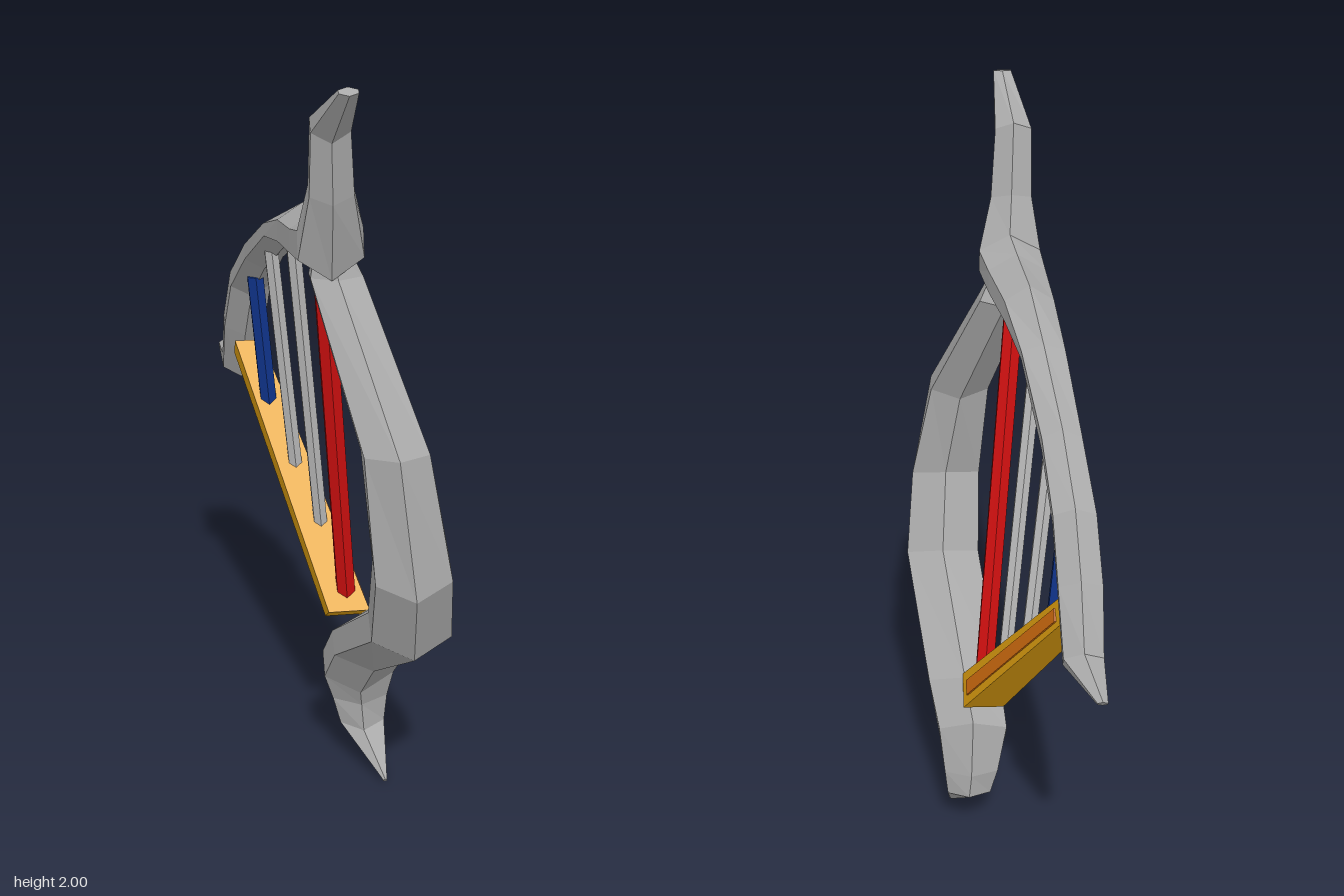
import * as THREE from 'three';

const paint = (name, color) => {
  const m = new THREE.MeshStandardMaterial({ color });
  m.name = name;
  return m;
};

// Section outlines: u runs from outer to inner edge, v from low to high x
const HEX = [[0, 0.5], [0.3, 1], [0.7, 1], [1, 0.5], [0.7, 0], [0.3, 0]];
const SQUARE = [[0, 0], [0, 1], [1, 1], [1, 0]];

// Faceted loft; each row is [outerZ, outerY, innerZ, innerY, xMin, xMax]
function loft(name, rows, outline, material) {
  const pos = [], idx = [], n = outline.length;
  for (const [oz, oy, iz, iy, x0, x1] of rows)
    for (const [u, v] of outline)
      pos.push(x0 + (x1 - x0) * v, oy + (iy - oy) * u, oz + (iz - oz) * u);
  for (let i = 0; i < rows.length - 1; i++)
    for (let j = 0; j < n; j++) {
      const a = i * n + j, b = i * n + (j + 1) % n, c = a + n, d = b + n;
      idx.push(a, b, c, b, d, c);
    }
  const end = (rows.length - 1) * n;
  for (let j = 1; j < n - 1; j++) {
    idx.push(0, j + 1, j);
    idx.push(end, end + j, end + j + 1);
  }
  let g = new THREE.BufferGeometry();
  g.setAttribute('position', new THREE.Float32BufferAttribute(pos, 3));
  g.setIndex(idx);
  g = g.toNonIndexed();
  g.computeVertexNormals();
  const mesh = new THREE.Mesh(g, material);
  mesh.name = name;
  return mesh;
}

// Straight six-sided string between two points
function string(name, from, to, radius, material) {
  const a = new THREE.Vector3(...from), b = new THREE.Vector3(...to);
  const dir = b.clone().sub(a);
  const g = new THREE.CylinderGeometry(radius, radius, dir.length(), 6).toNonIndexed();
  g.computeVertexNormals();
  const mesh = new THREE.Mesh(g, material);
  mesh.position.copy(a).add(b).multiplyScalar(0.5);
  mesh.quaternion.setFromUnitVectors(new THREE.Vector3(0, 1, 0), dir.normalize());
  mesh.name = name;
  return mesh;
}

export function createModel() {
  const harp = new THREE.Group();
  harp.name = 'harp';
  const grey = paint('frame grey', 0xaaaaaa);
  const pale = paint('string grey', 0xbbbbbb);
  const red = paint('string red', 0xd01010);
  const blue = paint('string blue', 0x10348c);
  const gold = paint('gold', 0xe0a010);
  const orange = paint('orange', 0xd87010);

  // Bowed front pillar, from the pointed foot up to the neck
  harp.add(loft('pillar', [
    [0.18, 0.01, 0.175, 0, 0.115, 0.125],
    [0.11, 0.12, 0, 0.15, 0.015, 0.13],
    [0.11, 0.2, 0.002, 0.22, -0.005, 0.137],
    [0.13, 0.25, 0.03, 0.38, -0.03, 0.15],
    [0.22, 0.37, 0.1, 0.48, -0.015, 0.175],
    [0.53, 0.59, 0.38, 0.7, 0.035, 0.228],
    [0.62, 0.8, 0.475, 0.89, 0.03, 0.21],
    [0.595, 1.15, 0.45, 1.13, 0.005, 0.155],
    [0.37, 1.5, 0.27, 1.49, -0.09, 0.03],
    [0.35, 1.56, 0.3, 1.56, -0.08, 0],
  ], HEX, grey));

  // Horn at the top, running into the arched neck and its rear spike
  harp.add(loft('neck', [
    [0.535, 2, 0.57, 1.99, -0.055, -0.012],
    [0.4, 1.92, 0.455, 1.85, -0.1, -0.012],
    [0.36, 1.75, 0.43, 1.7, -0.1, 0],
    [0.325, 1.66, 0.37, 1.5, -0.12, 0.03],
    [0.27, 1.635, 0.27, 1.49, -0.13, 0.01],
    [0.15, 1.61, 0.15, 1.475, -0.145, -0.025],
    [0, 1.53, 0.03, 1.46, -0.165, -0.06],
    [-0.19, 1.41, -0.17, 1.32, -0.195, -0.1],
    [-0.33, 1.28, -0.29, 1.2, -0.222, -0.12],
    [-0.41, 1.13, -0.36, 1.06, -0.235, -0.13],
    [-0.49, 0.985, -0.44, 0.905, -0.235, -0.14],
    [-0.615, 0.94, -0.6, 0.92, -0.235, -0.21],
  ], HEX, grey));

  // Tapered sound box with an inlay on its outer side
  harp.add(loft('soundBox', [
    [0.11, 0.485, 0.035, 0.43, -0.02, 0.085],
    [-0.35, 1.05, -0.39, 1, -0.21, -0.14],
  ], SQUARE, gold));
  harp.add(loft('soundBoxInlay', [
    [0.06, 0.501, 0.028, 0.477, 0.07, 0.0775],
    [-0.335, 1.006, -0.361, 0.986, -0.132, -0.1245],
  ], SQUARE, orange));

  // Strings, longest at the front
  harp.add(
    string('redString', [0.03, 0.51, 0.062], [-0.05, 1.5, 0.225], 0.026, red),
    string('frontGreyString', [-0.022, 0.66, -0.05], [-0.1, 1.48, 0.07], 0.019, pale),
    string('rearGreyString', [-0.075, 0.78, -0.15], [-0.14, 1.42, -0.07], 0.019, pale),
    string('blueString', [-0.132, 0.91, -0.262], [-0.165, 1.28, -0.235], 0.023, blue),
  );
  return harp;
}
